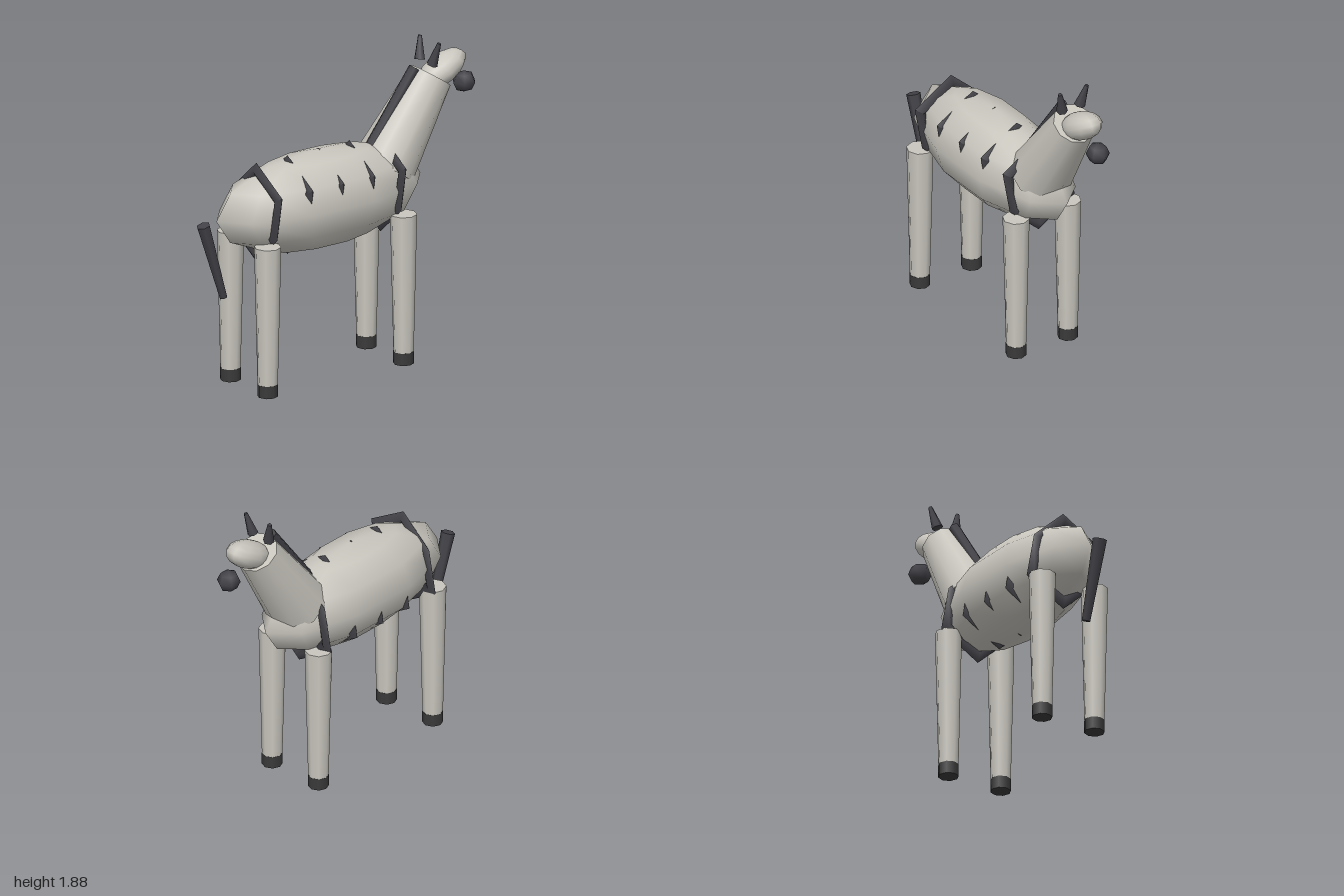
import * as THREE from 'three';

export function createModel() {
  const model = new THREE.Group();
  const mat = (name, color) => {
    const m = new THREE.MeshStandardMaterial({ color });
    m.name = name;
    return m;
  };
  const hide = mat('pale grey hide', 0xc9c6be);
  const dark = mat('charcoal stripe', 0x424248);
  const hoofMat = mat('hoof black', 0x3a3a3a);

  const add = (name, geometry, material) => {
    const mesh = new THREE.Mesh(geometry, material);
    mesh.name = name;
    model.add(mesh);
    return mesh;
  };

  // Tapered cylinder running from point a (radius ra) to point b (radius rb)
  const limb = (name, a, b, ra, rb, sides, material) => {
    const start = new THREE.Vector3(...a);
    const dir = new THREE.Vector3(...b).sub(start);
    const mesh = add(name, new THREE.CylinderGeometry(rb, ra, dir.length(), sides), material);
    mesh.position.copy(start).addScaledVector(dir, 0.5);
    mesh.quaternion.setFromUnitVectors(new THREE.Vector3(0, 1, 0), dir.normalize());
    return mesh;
  };

  // Barrel body, pointed at chest and rump
  const body = add('body', new THREE.SphereGeometry(1, 10, 6).rotateY(Math.PI / 2).scale(0.273, 0.3, 0.735), hide);
  body.position.set(0, 1.07, 0.125);

  // Angular stripe rings; two opposite corners are drawn inward
  const ring = new THREE.TorusGeometry(0.85, 0.15, 4, 6).rotateZ(Math.PI / 6).scale(0.295, 0.305, 0.19);
  const p = ring.attributes.position;
  for (let i = 0; i < p.count; i++) {
    const x = p.getX(i), y = p.getY(i);
    if (x * y < -0.001) p.setXY(i, x * 0.8, y * 0.8);
  }
  ring.computeVertexNormals();
  for (let i = 0; i < 5; i++) {
    add('stripe', ring, dark).position.set(0, 1.07, 0.572 - i * 0.2235);
  }

  // Legs and hooves
  for (const x of [-0.183, 0.183]) {
    for (const z of [0.625, -0.355]) {
      limb('leg', [x, 0.07, z], [x, 0.92, z], 0.06, 0.08, 8, hide);
      limb('hoof', [x, 0, z], [x, 0.075, z], 0.061, 0.061, 8, hoofMat);
    }
  }

  // Neck, mane and tail
  limb('neck', [0, 1.16, -0.345], [0, 1.655, -0.685], 0.19, 0.13, 10, hide);
  limb('mane', [0, 1.3, -0.245], [0, 1.725, -0.565], 0.034, 0.034, 6, dark);
  limb('tail', [0, 0.595, 0.81], [0, 1.065, 0.955], 0.025, 0.042, 6, dark);

  // Head, tilted upward
  const head = add('head', new THREE.SphereGeometry(1, 10, 8).scale(0.1, 0.085, 0.18), hide);
  head.position.set(0, 1.675, -0.76);
  head.rotation.x = 0.47;

  // Muzzle
  const muzzle = add('muzzle', new THREE.SphereGeometry(1, 6, 4).rotateY(Math.PI / 2).scale(0.068, 0.065, 0.075), dark);
  muzzle.position.set(0, 1.568, -0.925);

  // Ears, splayed outward
  for (const s of [-1, 1]) {
    limb('ear', [s * 0.062, 1.742, -0.65], [s * 0.095, 1.877, -0.677], 0.034, 0.012, 6, dark);
  }

  return model;
}
